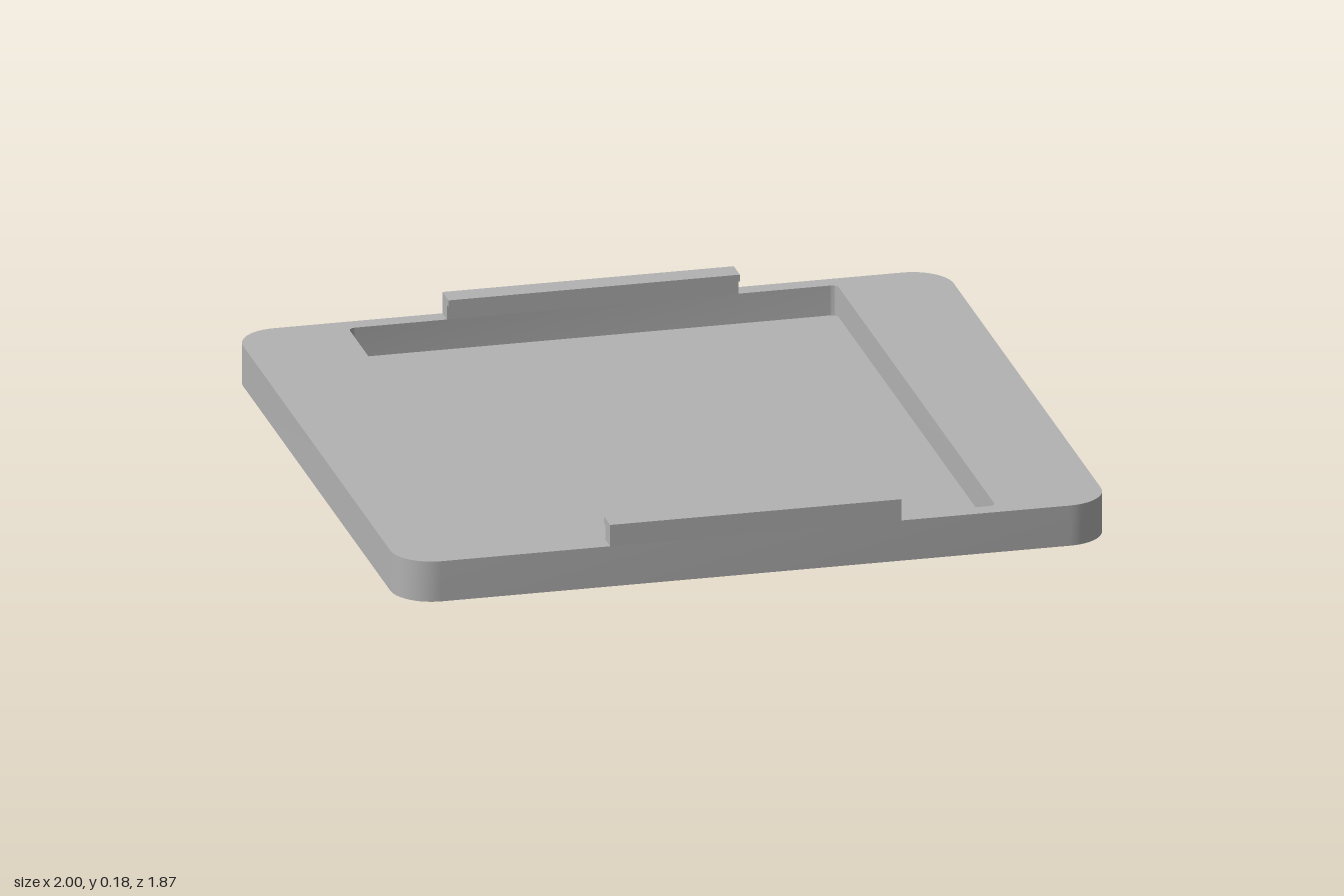
import * as THREE from 'three';
import { toCreasedNormals } from 'three/addons/utils/BufferGeometryUtils.js';

const HALF_X = 1, HALF_Z = 0.935, TOP = 0.117;     // plate
const POCKET_X = 0.688, POCKET_Z = 0.885, FLOOR = 0.03;
const HOLE_X = 0.84, HOLE_Z = 0.36, HOLE_R = 0.094, HOLE_DEPTH = 0.06;

// Counter-clockwise outline of a rectangle with round corners
function roundedRect(hx, hz, r, steps = 12) {
  const points = [];
  [[1, 1], [-1, 1], [-1, -1], [1, -1]].forEach(([sx, sz], corner) => {
    for (let i = 0; i <= steps; i++) {
      const a = (corner + i / steps) * Math.PI / 2;
      points.push(new THREE.Vector2(sx * (hx - r) + r * Math.cos(a), sz * (hz - r) + r * Math.sin(a)));
    }
  });
  return points;
}

function circle(cx, cz, r, steps = 40) {
  return Array.from({ length: steps }, (_, i) => {
    const a = i / steps * Math.PI * 2;
    return new THREE.Vector2(cx + r * Math.cos(a), cz + r * Math.sin(a));
  });
}

// Flat horizontal face, facing up (1) or down (-1)
function cap(outline, y, facing, holes = []) {
  const shape = new THREE.Shape(outline);
  shape.holes = holes.map(h => new THREE.Path(h));
  return new THREE.ShapeGeometry(shape).rotateX(-facing * Math.PI / 2).translate(0, y, 0);
}

// Upright wall along an outline, facing outward or inward
function wall(outline, y0, y1, inward = false) {
  const pos = [];
  outline.forEach((p, i) => {
    let a = p, b = outline[(i + 1) % outline.length];
    if (inward) [a, b] = [b, a];
    pos.push(a.x, y0, -a.y, b.x, y0, -b.y, b.x, y1, -b.y);
    pos.push(a.x, y0, -a.y, b.x, y1, -b.y, a.x, y1, -a.y);
  });
  const geo = new THREE.BufferGeometry();
  geo.setAttribute('position', new THREE.Float32BufferAttribute(pos, 3));
  return toCreasedNormals(geo, 0.6);
}

export function createModel() {
  const model = new THREE.Group();
  model.name = 'clipTray';
  const grey = new THREE.MeshStandardMaterial({ color: 0xb2b2b2 });
  grey.name = 'plain grey';

  const add = (name, geometry, parent = model) => {
    const mesh = new THREE.Mesh(geometry, grey);
    mesh.name = name;
    parent.add(mesh);
    return mesh;
  };

  const plate = roundedRect(HALF_X, HALF_Z, 0.115);
  const pocket = roundedRect(POCKET_X, POCKET_Z, 0.02, 6);
  const holes = [];
  for (const sx of [1, -1]) for (const sz of [1, -1]) holes.push(circle(sx * HOLE_X, sz * HOLE_Z, HOLE_R));

  // Plate
  add('plateSide', wall(plate, 0, TOP));
  add('plateRim', cap(plate, TOP, 1, [pocket]));
  add('plateUnderside', cap(plate, 0, -1, holes));

  // Sunken pocket
  add('pocketWall', wall(pocket, FLOOR, TOP, true));
  add('pocketFloor', cap(pocket, FLOOR, 1));

  // Blind round recesses underneath
  holes.forEach(h => {
    const recess = new THREE.Group();
    recess.name = 'footRecess';
    model.add(recess);
    add('recessWall', wall(h, 0, HOLE_DEPTH, true), recess);
    add('recessCeiling', cap(h, HOLE_DEPTH, -1), recess);
  });

  // Hooked retaining clips on the front and back edges
  const profile = new THREE.Shape([
    [HALF_Z, TOP], [HALF_Z, 0.179], [0.867, 0.179], [0.867, 0.159], [POCKET_Z, 0.159], [POCKET_Z, TOP],
  ].map(([z, y]) => new THREE.Vector2(z, y)));
  const clip = new THREE.ExtrudeGeometry(profile, { depth: 0.82, bevelEnabled: false })
    .translate(0, 0, -0.41).rotateY(-Math.PI / 2);
  add('frontClip', clip);
  add('backClip', clip).rotation.y = Math.PI;

  return model;
}
